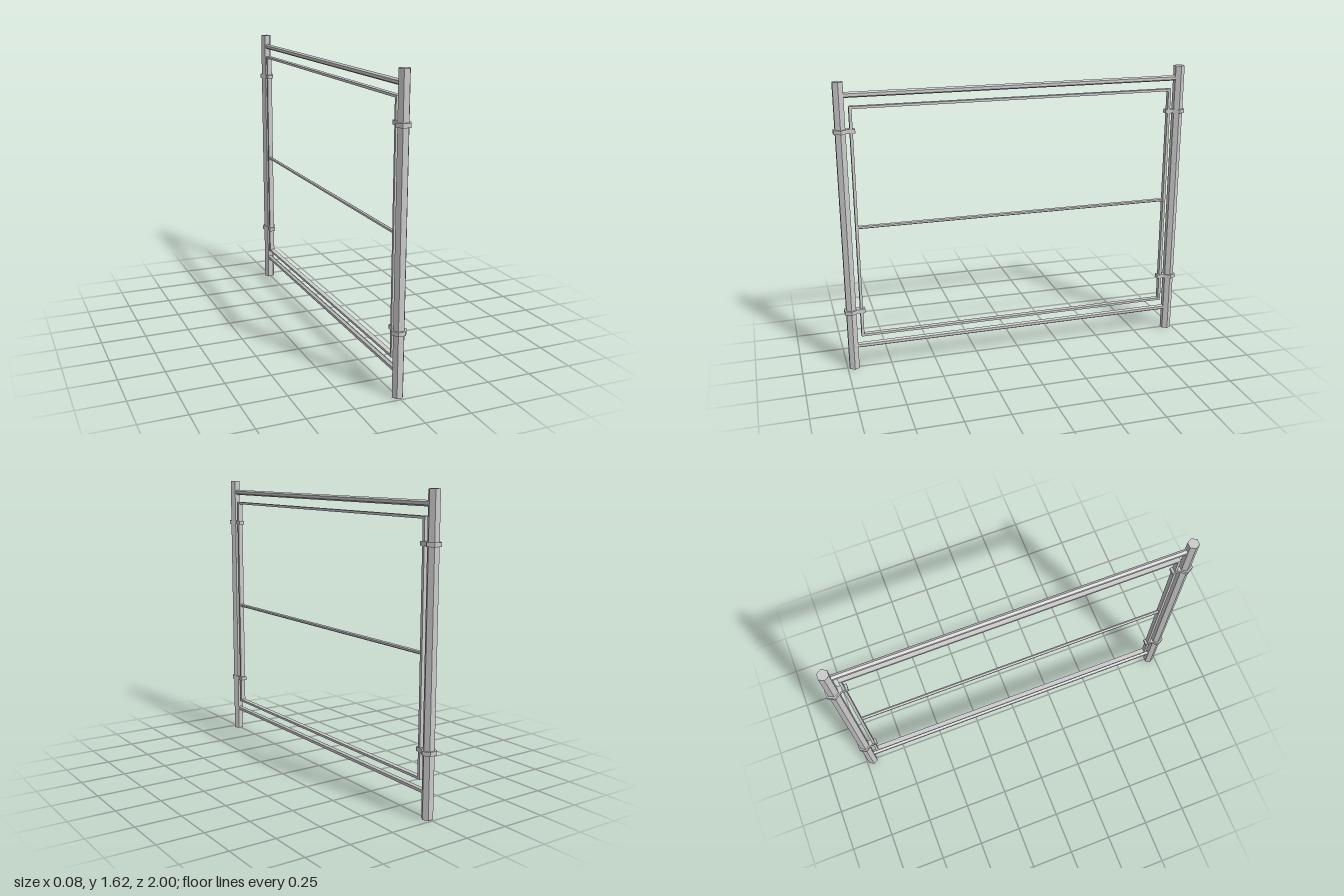
import * as THREE from 'three';

const material = new THREE.MeshStandardMaterial({ color: 0xcccccc, flatShading: true });

export function createModel() {
  const model = new THREE.Group();
  model.name = 'gateFrame';

  const add = (name, geometry, x, y, z) => {
    const mesh = new THREE.Mesh(geometry, material);
    mesh.name = name;
    mesh.position.set(x, y, z);
    model.add(mesh);
    return mesh;
  };

  // Hexagonal bar lying along z, with corners at top and bottom
  const bar = (name, radius, length, y) => {
    const geometry = new THREE.CylinderGeometry(radius, radius, length, 6);
    geometry.rotateX(Math.PI / 2);
    return add(name, geometry, 0, y, 0);
  };

  const postZ = 0.962, height = 1.625;

  // Clamp outline: hexagonal ring with a tab towards the inner frame (-y in the shape)
  const r = 0.042, flat = r * Math.cos(Math.PI / 6);
  const clampShape = new THREE.Shape([
    [-r / 2, flat], [-r, 0], [-0.017, -flat], [-0.017, -0.077],
    [0.017, -0.077], [0.017, -flat], [r, 0], [r / 2, flat],
  ].map(([x, y]) => new THREE.Vector2(x, y)));
  const clampGeometry = new THREE.ExtrudeGeometry(clampShape, { depth: 0.022, bevelEnabled: false });
  clampGeometry.translate(0, 0, -0.011);
  clampGeometry.rotateX(Math.PI / 2);

  for (const side of [1, -1]) {
    const label = side > 0 ? 'front' : 'back';

    // Hexagonal post with corners at the sides
    const post = new THREE.CylinderGeometry(0.031, 0.031, height, 6);
    post.rotateY(Math.PI / 6);
    add(label + 'Post', post, 0, height / 2, side * postZ);

    // Upright of the inner flat-bar frame
    add(label + 'InnerUpright', new THREE.BoxGeometry(0.028, 1.305, 0.015), 0, 0.8425, side * 0.905);

    // Clamps joining post and inner frame
    for (const y of [0.345, 1.365]) {
      const clamp = add(label + 'Clamp', clampGeometry, 0, y, side * postZ);
      if (side < 0) clamp.rotation.y = Math.PI;
    }
  }

  // Outer rails between the posts
  bar('topRail', 0.0155, 1.88, 1.555);
  bar('bottomRail', 0.0155, 1.88, 0.135);

  // Inner frame: flat top and bottom bars with a thin middle bar
  add('innerTopBar', new THREE.BoxGeometry(0.028, 0.013, 1.8), 0, 1.4885, 0);
  add('innerBottomBar', new THREE.BoxGeometry(0.028, 0.013, 1.8), 0, 0.1965, 0);
  bar('middleBar', 0.01, 1.8, 0.831);

  return model;
}
